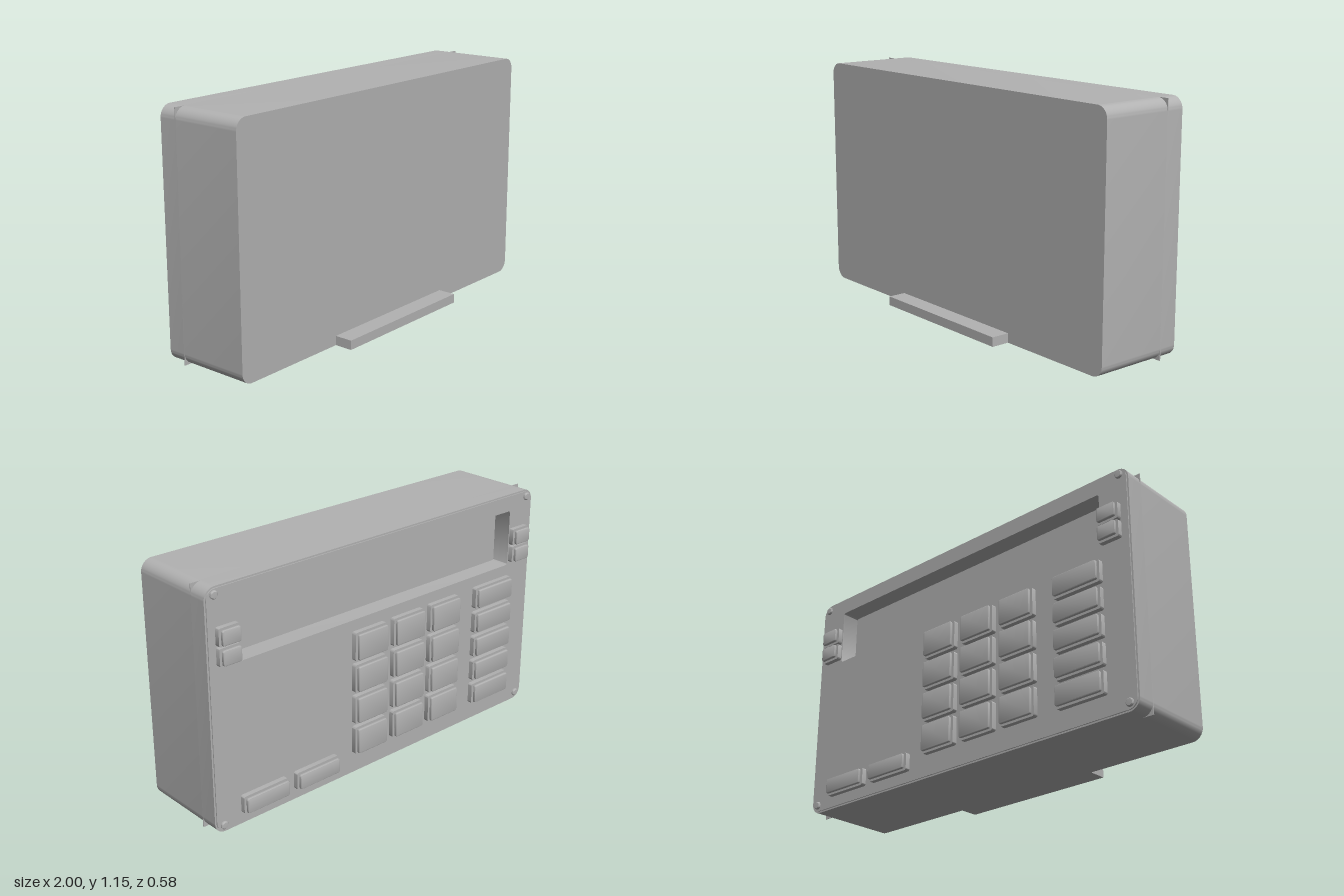
import * as THREE from 'three';
import { toCreasedNormals } from 'three/addons/utils/BufferGeometryUtils.js';

const W = 2, H = 1.15;

// Rounded rectangle centred on (x, y)
function roundedRect(Type, w, h, r, x = 0, y = 0) {
  const s = new Type(), a = w / 2, b = h / 2;
  s.moveTo(x - a + r, y - b);
  s.lineTo(x + a - r, y - b);
  s.absarc(x + a - r, y - b + r, r, -Math.PI / 2, 0, false);
  s.lineTo(x + a, y + b - r);
  s.absarc(x + a - r, y + b - r, r, 0, Math.PI / 2, false);
  s.lineTo(x - a + r, y + b);
  s.absarc(x - a + r, y + b - r, r, Math.PI / 2, Math.PI, false);
  s.lineTo(x - a, y - b + r);
  s.absarc(x - a + r, y - b + r, r, Math.PI, Math.PI * 1.5, false);
  return s;
}

// Solid between z0 and z1, with an optional bevel kept inside the outline
function slab(shape, z0, z1, bevel = 0, curveSegments = 6) {
  const g = new THREE.ExtrudeGeometry(shape, {
    depth: z1 - z0 - 2 * bevel, curveSegments,
    bevelEnabled: bevel > 0, bevelSize: bevel, bevelThickness: bevel,
    bevelOffset: -bevel, bevelSegments: 2,
  });
  g.translate(0, 0, z0 + bevel);
  return toCreasedNormals(g, 0.6);
}

export function createModel() {
  const model = new THREE.Group();
  model.name = 'keypadTerminal';
  const grey = new THREE.MeshStandardMaterial({ color: 0xb2b2b2 });
  grey.name = 'plain grey';

  const add = (name, geometry, parent = model) => {
    const mesh = new THREE.Mesh(geometry, grey);
    mesh.name = name;
    parent.add(mesh);
    return mesh;
  };

  // Casing, with a recess for the display on the keypad side
  const outline = (inset) =>
    roundedRect(THREE.Shape, W - 2 * inset, H - 2 * inset, 0.055 - inset, 0, H / 2);
  const withWindow = (shape) => {
    shape.holes.push(roundedRect(THREE.Path, 1.68, 0.28, 0.012, 0, 0.925));
    return shape;
  };
  add('casing', slab(outline(0), -0.155, 0.2));
  add('casingRim', slab(withWindow(outline(0)), -0.245, -0.155));
  add('keypadPanel', slab(withWindow(outline(0.008)), -0.25, -0.245));

  // Thin inner board whose square corners reach past the rounded casing
  add('innerBoard', new THREE.BoxGeometry(W, H, 0.004).translate(0, H / 2, -0.156));

  // Foot tab on the plain side
  add('footTab', new THREE.BoxGeometry(0.8, 0.045, 0.09).translate(0, 0.0225, 0.245));

  // A key: bezel, neck and a slightly smaller softened cap
  function addKey(name, x0, x1, y0, y1) {
    const key = new THREE.Group();
    key.name = name;
    model.add(key);
    const x = (x0 + x1) / 2, y = (y0 + y1) / 2, w = x1 - x0, h = y1 - y0;
    const rect = (inset) =>
      roundedRect(THREE.Shape, w - 2 * inset, h - 2 * inset, 0.01, x, y);
    add('keyBezel', slab(rect(0), -0.274, -0.249, 0, 3), key);
    add('keyNeck', slab(rect(0.014), -0.28, -0.273, 0, 3), key);
    add('keyCap', slab(rect(0.007), -0.293, -0.277, 0.005, 3), key);
  }

  // Number pad: four rows of three
  for (let row = 0; row < 4; row++) {
    const top = 0.73 - row * 0.16;
    for (const x of [-0.47, -0.23, 0.01]) addKey('numberKey', x, x + 0.195, top - 0.14, top);
  }

  // Command column
  for (let i = 0; i < 5; i++) {
    const top = 0.73 - i * 0.13;
    addKey('commandKey', -0.845, -0.59, top - 0.108, top);
  }

  // Two long keys at the bottom
  for (const x of [0.31, 0.61]) addKey('longKey', x, x + 0.25, 0.06, 0.147);

  // Side keys beside the display
  for (const x of [-0.955, 0.845]) {
    for (const y of [0.8, 0.89]) addKey('sideKey', x, x + 0.11, y, y + 0.084);
  }

  // Corner screws with chamfered heads
  const profile = [[0.019, 0], [0.019, 0.006], [0.015, 0.01], [0, 0.011]]
    .map(([r, h]) => new THREE.Vector2(r, h));
  const screw = toCreasedNormals(new THREE.LatheGeometry(profile, 16), 0.6);
  screw.rotateX(-Math.PI / 2);
  for (const x of [-0.955, 0.955]) {
    for (const y of [0.037, H - 0.033]) add('cornerScrew', screw).position.set(x, y, -0.25);
  }
  return model;
}
